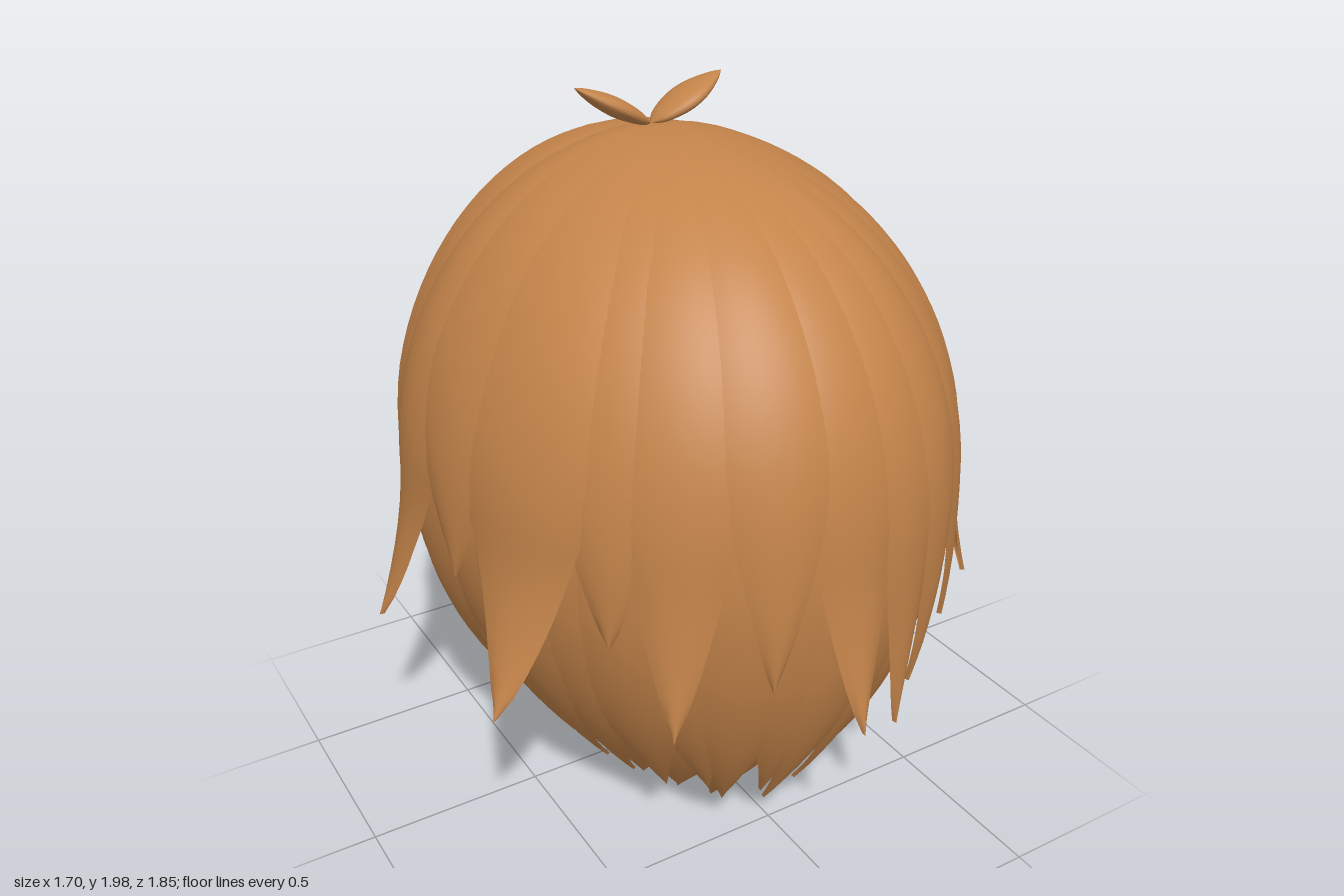
import * as THREE from 'three';

const hair = new THREE.MeshStandardMaterial({ color: 0xc4844a, side: THREE.DoubleSide });
hair.name = 'chestnut hair';
const DEG = Math.PI / 180;

// Smooth sheet from a rule f(u, t): u runs -1..1 across, t runs 0..1 from root to tip
function sheet(parent, name, f, rows = 28, cols = 8) {
  const pos = [], idx = [];
  for (let i = 0; i <= rows; i++) {
    for (let j = 0; j <= cols; j++) pos.push(...f(j / cols * 2 - 1, i / rows));
  }
  for (let i = 0; i < rows; i++) {
    for (let j = 0; j < cols; j++) {
      const a = i * (cols + 1) + j, b = a + cols + 1;
      idx.push(a, b, a + 1, a + 1, b, b + 1);
    }
  }
  const g = new THREE.BufferGeometry();
  g.setAttribute('position', new THREE.Float32BufferAttribute(pos, 3));
  g.setIndex(idx);
  g.computeVertexNormals();
  const m = new THREE.Mesh(g, hair);
  m.name = name;
  parent.add(m);
}

// Lock width: full until t0, then narrowing to a point
const taper = (t, t0) => (t < t0 ? 1 : Math.pow(Math.max(0, 1 - (t - t0) / (1 - t0)), 0.8));
const flickOf = t => Math.pow(Math.max(0, (t - 0.78) / 0.22), 2);

// Head profile: relative radius at a height; p is rounder (2) sideways and fuller towards the back
const SIDE = 2, BACK = 2.25;
const crown = (y, p) => Math.pow(Math.max(0, 1 - Math.pow((y - 1) / 0.88, p)), 1 / p);
const outerR = (y, p) => 0.985 * (y > 1 ? crown(y, p) : 1 - 0.44 * (1 - y) ** 2);
const underR = (y, p, k) => (y > 1 ? 0.97 * crown(y, p) : 0.97 - k * (1 - y) ** 2);

// Point on the head at azimuth a (degrees from +z towards +x)
function headPoint(a, y, r, rBack, out = 0) {
  const s = Math.sin(a * DEG), c = Math.cos(a * DEG);
  return [s * (0.755 * r + out), y, -0.1 + c * (c > 0 ? 0.96 * rBack + out : 0.65 * r + out)];
}

// Point on the fringe shell at azimuth a (degrees from -z towards +x)
function fringePoint(a, y, t, out) {
  const r = Math.sqrt(Math.max(0, 1 - ((y - 0.85) / 0.925) ** 2));
  return [Math.sin(a * DEG) * (0.59 * Math.pow(r, 1.2) + out), y,
    -0.35 - 0.17 * (1 - t) ** 2 - Math.cos(a * DEG) * (0.555 * Math.pow(r, 1.5) + out)];
}

export function createModel() {
  const model = new THREE.Group();
  model.name = 'hair';
  const group = name => {
    const g = new THREE.Group();
    g.name = name;
    model.add(g);
    return g;
  };

  // Closed cap on top of the head
  sheet(model, 'crownCap', (u, t) => {
    const y = 1.878 - 0.278 * t * t;
    return headPoint(u * 180, y, outerR(y + 0.002, SIDE), outerR(y + 0.002, BACK));
  }, 12, 48);

  // Long outer locks: azimuth, half width, tip height, outward flick
  const outer = group('outerLocks');
  [
    [-99, 20, 0.58, 0.16], [-78, 14, 0.84, 0.0], [-62, 15, 0.59, 0.18], [-46, 12, 0.8, 0.0],
    [-34, 12, 0.6, 0.1], [-17, 11, 0.72, 0.02], [-1, 12, 0.58, 0.13], [13, 10, 0.48, 0.09],
    [23, 10, 0.52, 0.03], [38, 13, 0.62, 0.04], [56, 15, 0.6, 0.13], [77, 15, 0.84, 0.0],
    [99, 20, 0.58, 0.16],
  ].forEach(([a, hw, tip, flick], i) => {
    sheet(outer, 'outerLock', (u, t) => {
      const y = 1.88 - (1.88 - tip) * Math.pow(t, 1.7);
      const lift = (0.004 * (i % 3) + 0.014 * (1 - u * u)) * Math.min(1, t * 3) + flick * flickOf(t);
      return headPoint(a + u * hw * taper(t, 0.66), y, outerR(y, SIDE), outerR(y, BACK), lift);
    }, 34);
  });

  // Under layer closing in at the nape, its side locks swept towards the face
  const under = group('napeLocks');
  for (let i = -11; i <= 11; i++) {
    const a = i * 11, m = Math.abs(a), k = Math.abs(i * 7 + 30) % 5;
    const tip = (m < 75 ? 0.09 : 0.13) + k * 0.022 + Math.max(0, m - 95) * 0.003;
    const sweep = (k - 2) * 2 + (m > 85 ? Math.sign(i) * 9 : 0);
    sheet(under, 'napeLock', (u, t) => {
      const y = 1.35 - (1.35 - tip) * t;
      const out = 0.012 * (1 - u * u) - 0.006 * (i & 1);
      return headPoint(a + sweep * t * t + u * 9.5 * taper(t, 0.68), y,
        underR(y, SIDE, 0.66), underR(y, BACK, 0.42), out);
    }, 20, 6);
  }
  // Inner nape row, reaching lowest and furthest in
  for (let i = -3; i <= 3; i++) {
    const tip = 0.008 + (Math.abs(i * 5 + 20) % 3) * 0.035;
    sheet(under, 'innerNapeLock', (u, t) => {
      const r = 0.93 - 0.47 * t * t;
      return headPoint(i * 15 + u * 10 * taper(t, 0.75), 1 - (1 - tip) * t, r, r, 0.01 * (1 - u * u));
    }, 16, 4);
  }

  // Bands over the head, hanging down both sides: z, half width, reach, top, tip, drift
  const bands = group('sideBands');
  for (const side of [1, -1]) {
    [
      [-0.22, 0.11, 0.71, 1.85, 0.2, 0.03], [-0.3, 0.08, 0.685, 1.835, 0.36, -0.02],
      [-0.36, 0.075, 0.66, 1.815, 0.24, -0.07], [-0.42, 0.06, 0.63, 1.795, 0.3, -0.08],
      [-0.46, 0.055, 0.595, 1.775, 0.38, -0.1], [-0.5, 0.045, 0.56, 1.755, 0.5, -0.1],
    ].forEach(([z, hw, reach, top, tip, drift]) => {
      sheet(bands, 'sideBand', (u, t) => {
        const y = 1.88 - (1.88 - tip) * Math.pow(t, 1.8);
        const bulge = 0.015 * (1 - u * u);
        const yy = y > 1 ? 1 + (y - 1) * (top - 1) / 0.88 + bulge * (y - 1) : y;
        const x = reach * underR(y, SIDE, 0.66) / 0.97 + bulge * Math.min(1, 3 * t);
        return [side * x, yy, z + drift * t * t + u * hw * taper(t, 0.62)];
      }, 30, 6);
    });
  }

  // Parted fringe: start azimuth, end azimuth, tip height, half width
  const fringe = group('fringe');
  [
    [26, 44, 1.12, 9], [36, 52, 0.96, 9], [48, 62, 0.8, 9], [60, 76, 0.7, 9], [72, 88, 0.58, 9],
    [84, 96, 0.48, 10], [98, 104, 0.42, 10],
    [22, 6, 0.6, 7], [14, -16, 0.56, 7], [9, -30, 0.6, 7], [4, -8, 0.54, 5], [-4, -14, 0.62, 6],
    [-12, -26, 0.57, 7], [-22, -50, 0.68, 7], [-32, -62, 0.6, 8], [-44, -70, 0.52, 8],
    [-56, -78, 0.44, 9], [-68, -86, 0.4, 9], [-82, -94, 0.38, 10], [-98, -104, 0.42, 10],
  ].forEach(([a0, a1, tip, hw], i) => {
    sheet(fringe, 'fringeLock', (u, t) => {
      const y = 1.77 - (1.77 - tip) * Math.pow(t, 1.75);
      const a = a0 + (a1 - a0) * t * t + u * hw * taper(t, 0.5) * (1.25 - 0.25 * t);
      return fringePoint(a, y, t, (0.016 * (1 - u * u) + 0.005 * (i % 3)) * Math.min(1, 3 * t));
    }, 28, 6);
  });

  // Thin loose strands in front
  [[12, -42, 0.7], [-26, -64, 0.55], [58, 74, 0.62]].forEach(([a0, a1, tip]) => {
    sheet(fringe, 'looseStrand', (u, t) => {
      const y = 1.77 - (1.77 - tip) * Math.pow(t, 1.75);
      return fringePoint(a0 + (a1 - a0) * t * t + u * 2.2 * taper(t, 0.3), y, t, 0.024 * t);
    }, 24, 2);
  });

  // Two-leaf tuft on the crown
  const leafProfile = new THREE.SplineCurve([
    [0, 0], [0.04, 0.035], [0.066, 0.1], [0.06, 0.16], [0.028, 0.22], [0, 0.25],
  ].map(p => new THREE.Vector2(...p))).getPoints(20).map(p => p.set(Math.max(0, p.x), p.y));
  for (const side of [1, -1]) {
    const leaf = new THREE.Mesh(new THREE.LatheGeometry(leafProfile, 16), hair);
    leaf.name = 'tuftLeaf';
    leaf.scale.set(0.38, 1, 1);
    leaf.rotation.z = -side * 62 * DEG;
    leaf.position.set(0, 1.875, -0.145);
    model.add(leaf);
  }
  return model;
}
